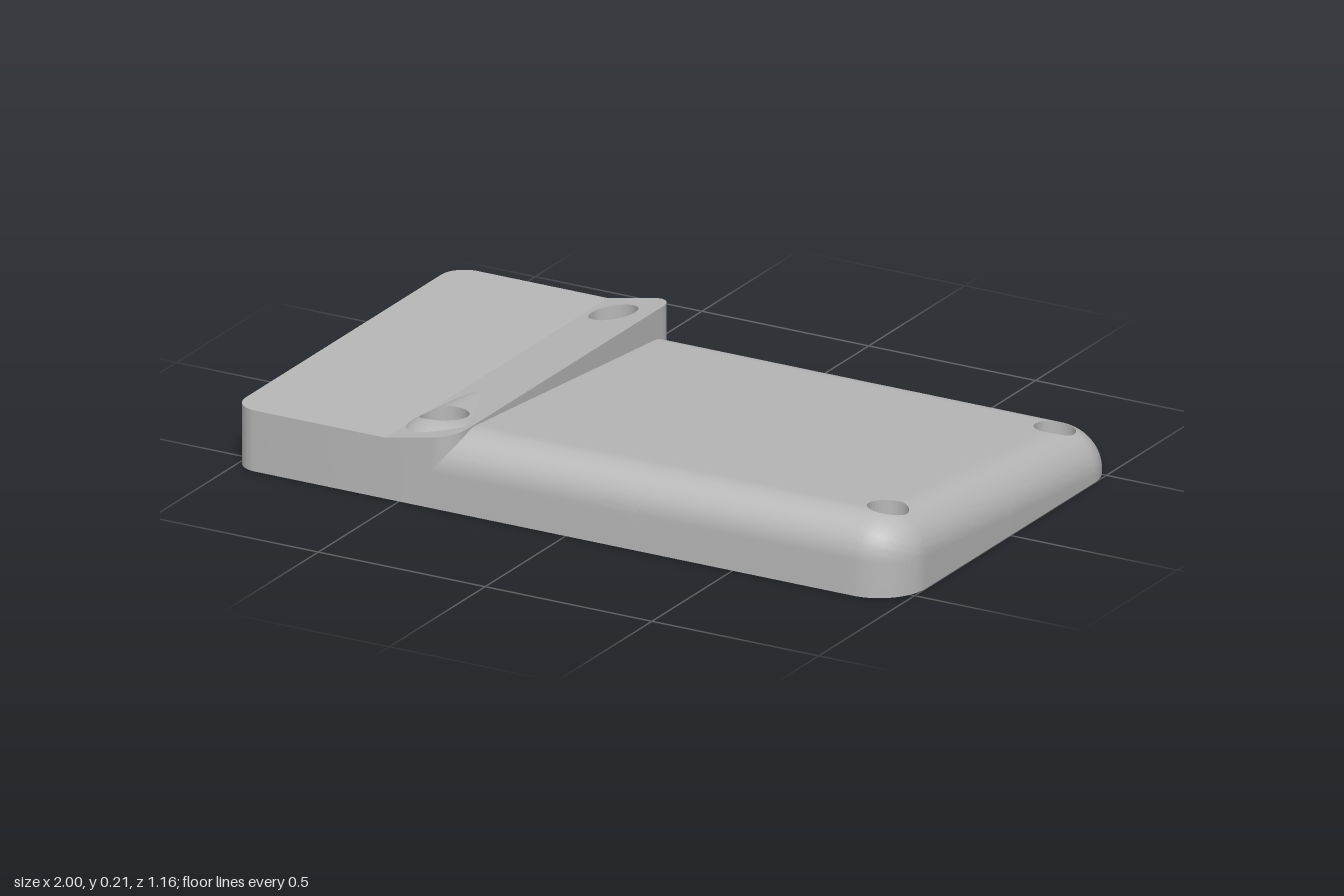
import * as THREE from 'three';
import { toCreasedNormals } from 'three/addons/utils/BufferGeometryUtils.js';

// Tilted, rounded body: half extents, plan corner radius, edge fillet, centre
const A = 0.7875, B = 0.58, R = 0.14, F = 0.115, CX = 0.2125;
// Slab: ends, start of the ramp, heights
const X0 = -1, X1 = -0.335, RAMP = -0.54, LOW = 0.17, HIGH = 0.21;
const HOLE_X = 0.6675, BIG = 0.065, HEAD = 0.055, SHANK = 0.027, FLOOR = 0.05;

// Height of the sloping top, dropping off in a quarter round at the outline
function height(u, v, z) {
  const qx = u - A + R, qv = v - B + R;
  const out = Math.hypot(Math.max(qx, 0), Math.max(qv, 0)) + Math.min(Math.max(qx, qv), 0);
  const d = Math.min(Math.max(R - out, 0), F);
  return 0.168 + 0.081 * z - F + Math.sqrt(Math.max(0, F * F - (F - d) ** 2));
}

// Outline of one quarter of the body; edge marks points that begin an outer wall
function quarterPath() {
  const path = [], add = (u, v, edge) => path.push({ u, v, edge });
  const N = 24;
  for (let i = 0; i < N; i++) add(0, B * Math.sin((i / N) * Math.PI / 2), false);
  for (let i = 0; i < N; i++) add((A - R) * i / N, B, true);
  for (let i = 0; i < N; i++) {
    const a = (i / N) * Math.PI / 2;
    add(A - R + R * Math.sin(a), B - R + R * Math.cos(a), true);
  }
  for (let i = 0; i < N; i++) add(A, (B - R) * (1 - i / N), true);
  for (let i = 0; i <= N; i++) add(A * Math.cos((i / N) * Math.PI / 2), 0, false);
  return path;
}

// One quarter lofted around its screw hole: underside, wall, top, hole
function addQuarter(pos, sx, sz, holeV, counterbored) {
  const path = quarterPath(), steps = 20;
  const rTop = counterbored ? HEAD : BIG, rLow = counterbored ? SHANK : BIG;
  const rows = path.map(({ u, v }) => {
    const len = Math.hypot(u - HOLE_X, v - holeV);
    const at = (r, y) => {
      const pu = HOLE_X + (u - HOLE_X) * r / len, pv = holeV + (v - holeV) * r / len;
      return [CX + sx * pu, y ?? height(pu, pv, sz * pv), sz * pv];
    };
    const row = [at(rLow, 0), at(len, 0)];
    for (let s = 0; s <= steps; s++) {
      row.push(at(len + (rTop - len) * (1 - Math.cos((s / steps) * Math.PI / 2))));
    }
    if (counterbored) row.push(at(rTop, FLOOR), at(rLow, FLOOR));
    row.push(at(rLow, 0));
    return row;
  });
  for (let i = 0; i < rows.length - 1; i++) {
    for (let j = 0; j < rows[i].length - 1; j++) {
      if (j === 1 && !path[i].edge) continue;
      const a = rows[i][j], b = rows[i + 1][j], c = rows[i + 1][j + 1], d = rows[i][j + 1];
      const quad = sx * sz > 0 ? [a, b, c, a, c, d] : [a, c, b, a, d, c];
      for (const p of quad) pos.push(...p);
    }
  }
}

function bodyGeometry() {
  const pos = [];
  addQuarter(pos, 1, 1, 0.43, true);
  addQuarter(pos, 1, -1, 0.44, true);
  addQuarter(pos, -1, 1, 0.42, false);
  addQuarter(pos, -1, -1, 0.46, false);
  const geo = new THREE.BufferGeometry();
  geo.setAttribute('position', new THREE.Float32BufferAttribute(pos, 3));
  return toCreasedNormals(geo, 0.6);
}

// Half of the slab plan: square at the seam x, rounded at the end x
function slabShape(seam, end, r) {
  const s = new THREE.Shape(), k = Math.sign(end - seam);
  s.moveTo(seam, -B);
  s.lineTo(end - k * r, -B);
  s.absarc(end - k * r, -B + r, r, -Math.PI / 2, k > 0 ? 0 : -Math.PI, k < 0);
  s.absarc(end - k * r, B - r, r, k > 0 ? 0 : Math.PI, Math.PI / 2, k < 0);
  s.lineTo(seam, B);
  s.closePath();
  return s;
}

function extrudeUp(shape, topAt) {
  const geo = new THREE.ExtrudeGeometry(shape, { depth: 1, bevelEnabled: false, curveSegments: 24 });
  geo.rotateX(-Math.PI / 2);
  const p = geo.attributes.position;
  for (let i = 0; i < p.count; i++) p.setY(i, p.getY(i) > 0.5 ? topAt(p.getX(i)) : 0);
  return toCreasedNormals(geo, 0.5);
}

export function createModel() {
  const model = new THREE.Group();
  const grey = new THREE.MeshStandardMaterial({ color: 0xb8b8b8 });
  grey.name = 'light grey';
  const add = (name, geo) => {
    const mesh = new THREE.Mesh(geo, grey);
    mesh.name = name;
    model.add(mesh);
  };

  add('slopingBody', bodyGeometry());

  // Flat end of the slab
  add('flatSlab', extrudeUp(slabShape(RAMP, X0, 0.07), () => LOW));

  // Rising end of the slab with the two large holes
  const ramp = slabShape(RAMP, X1, 0.07);
  for (const z of [0.42, -0.46]) {
    ramp.holes.push(new THREE.Path().absarc(CX - HOLE_X, -z, BIG, 0, Math.PI * 2, true));
  }
  add('rampSlab', extrudeUp(ramp, (x) => LOW + (HIGH - LOW) * (x - RAMP) / (X1 - RAMP)));

  return model;
}
